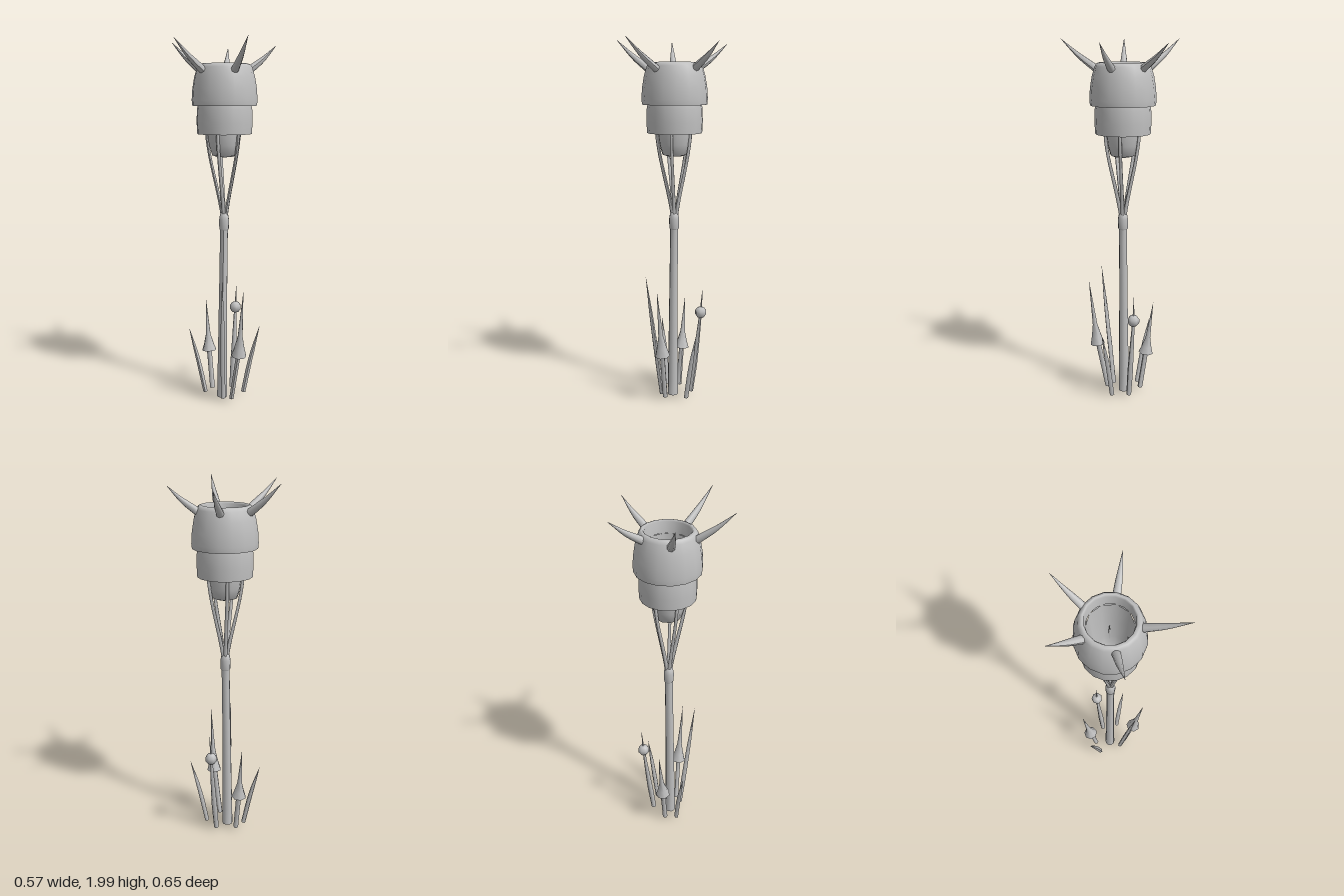
import * as THREE from 'three';

export function createModel() {
  const model = new THREE.Group();
  const grey = new THREE.MeshStandardMaterial({ color: 0xc0c0c0, side: THREE.DoubleSide });
  grey.name = 'plain grey';
  const V = (x, y, z) => new THREE.Vector3(x, y, z);

  function add(name, geometry, parent = model) {
    const mesh = new THREE.Mesh(geometry, grey);
    mesh.name = name;
    parent.add(mesh);
    return mesh;
  }

  // Tube along a smooth path whose radius follows a list of evenly spaced values
  function taper(points, radii, sides = 8, steps = 10) {
    const curve = new THREE.CatmullRomCurve3(points);
    const g = new THREE.TubeGeometry(curve, steps, 1, sides, false);
    const p = g.attributes.position;
    const v = V(0, 0, 0);
    for (let i = 0; i <= steps; i++) {
      const t = i / steps * (radii.length - 1);
      const k = Math.min(Math.floor(t), radii.length - 2);
      const r = THREE.MathUtils.lerp(radii[k], radii[k + 1], t - k);
      const c = curve.getPointAt(i / steps);
      for (let j = 0; j <= sides; j++) {
        const n = i * (sides + 1) + j;
        v.fromBufferAttribute(p, n).sub(c).multiplyScalar(r).add(c);
        p.setXYZ(n, v.x, v.y, v.z);
      }
    }
    g.computeVertexNormals();
    return g;
  }

  const lathe = (pts, sides) =>
    new THREE.LatheGeometry(pts.map(([r, y]) => new THREE.Vector2(r, y)), sides);

  // Stalk and the knot where it branches
  add('stalk', taper([V(0, 0, -0.005), V(0.004, 0.5, -0.006), V(0.01, 1, -0.008)],
    [0.03, 0.026, 0.023, 0.022], 10));
  add('knot', lathe([[0.02, 0.97], [0.027, 0.98], [0.028, 1.03], [0.022, 1.065], [0, 1.08]], 10))
    .position.set(0.01, 0, -0.008);

  // Flower head: two overlapping open shells around an inner cup
  const head = new THREE.Group();
  head.name = 'flowerHead';
  head.position.set(0.012, 0, -0.01);
  model.add(head);
  add('upperShell', lathe([[0.174, 1.65], [0.177, 1.68], [0.173, 1.74], [0.163, 1.80],
    [0.148, 1.85], [0.138, 1.865], [0.125, 1.87], [0.118, 1.86], [0.113, 1.8]], 16), head);
  add('lowerShell', lathe([[0.148, 1.5], [0.151, 1.56], [0.149, 1.63], [0.138, 1.69], [0.115, 1.75]], 16), head);
  add('innerCup', lathe([[0, 1.375], [0.045, 1.377], [0.068, 1.385], [0.085, 1.44], [0.094, 1.5],
    [0.104, 1.65], [0.113, 1.8]], 10), head);

  // Five ribs bowing out from the knot to the cup
  for (let i = 0; i < 5; i++) {
    const a = Math.PI + i * Math.PI * 2 / 5;
    const at = (r, y) => V(r * Math.cos(a), y, r * Math.sin(a));
    add('rib' + (i + 1), taper([at(0.008, 1.04), at(0.027, 1.14), at(0.054, 1.26), at(0.08, 1.38), at(0.096, 1.5), at(0.088, 1.62)],
      [0.011, 0.01, 0.009, 0.009, 0.002], 6, 12), head);
  }

  // Thorns around the rim: foot, then tip
  const thorns = [
    [[0.01, 1.84, -0.15], [0.01, 1.97, -0.327]],
    [[0.145, 1.84, -0.063], [0.285, 1.97, -0.125]],
    [[0.075, 1.835, 0.125], [0.15, 1.99, 0.325]],
    [[-0.095, 1.835, 0.092], [-0.227, 1.99, 0.223]],
    [[-0.125, 1.84, -0.068], [-0.287, 1.99, -0.135]],
  ];
  thorns.forEach(([f, t], i) => {
    const foot = V(...f), tip = V(...t);
    const mid = foot.clone().lerp(tip, 0.5).add(V(0, -0.008, 0));
    add('thorn' + (i + 1), taper([foot, mid, tip], [0.021, 0.017, 0.009, 0.0005], 8, 8));
  });

  // Grass blades: foot, tip
  const blades = [
    [[-0.097, 0.02, -0.015], [-0.19, 0.395, -0.025]],
    [[0.12, 0.02, -0.03], [0.21, 0.41, -0.045]],
    [[0.01, 0.02, 0.07], [0.012, 0.72, 0.165]],
  ];
  blades.forEach(([f, t], i) => {
    const foot = V(...f), tip = V(...t);
    const mid = foot.clone().lerp(tip, 0.5).add(V((f[0] - t[0]) * 0.06, 0, 0));
    add('blade' + (i + 1), taper([foot, mid, tip], [0.013, 0.014, 0.011, 0.0005], 5, 8));
  });

  // Shoots capped with a flared spike: foot, skirt centre, tip
  const shoots = [
    [[-0.062, 0.02, -0.075], [-0.083, 0.24, -0.1], [-0.105, 0.55, -0.135]],
    [[0.058, 0.02, 0.07], [0.1, 0.285, 0.107], [0.126, 0.67, 0.15]],
  ];
  shoots.forEach(([f, s, t], i) => {
    const foot = V(...f), skirt = V(...s), tip = V(...t);
    const axis = tip.clone().sub(skirt);
    const h = axis.length();
    add('shoot' + (i + 1), taper([foot, skirt.clone().lerp(tip, 0.1)], [0.014, 0.014], 6, 2));
    const spike = add('spike' + (i + 1), lathe([[0.042, 0], [0.029, h * 0.12], [0.014, h * 0.3], [0.008, h * 0.6], [0, h]], 7));
    spike.position.copy(skirt);
    spike.quaternion.setFromUnitVectors(V(0, 1, 0), axis.normalize());
  });

  // Shoot with a round bud and a fine point
  add('budShoot', taper([V(0.05, 0.02, -0.095), V(0.06, 0.25, -0.122), V(0.067, 0.49, -0.147), V(0.073, 0.63, -0.155)],
    [0.014, 0.016, 0.012, 0.007, 0.0005], 6, 12));
  add('bud', new THREE.SphereGeometry(0.034, 7, 5)).position.set(0.067, 0.49, -0.147);

  return model;
}
